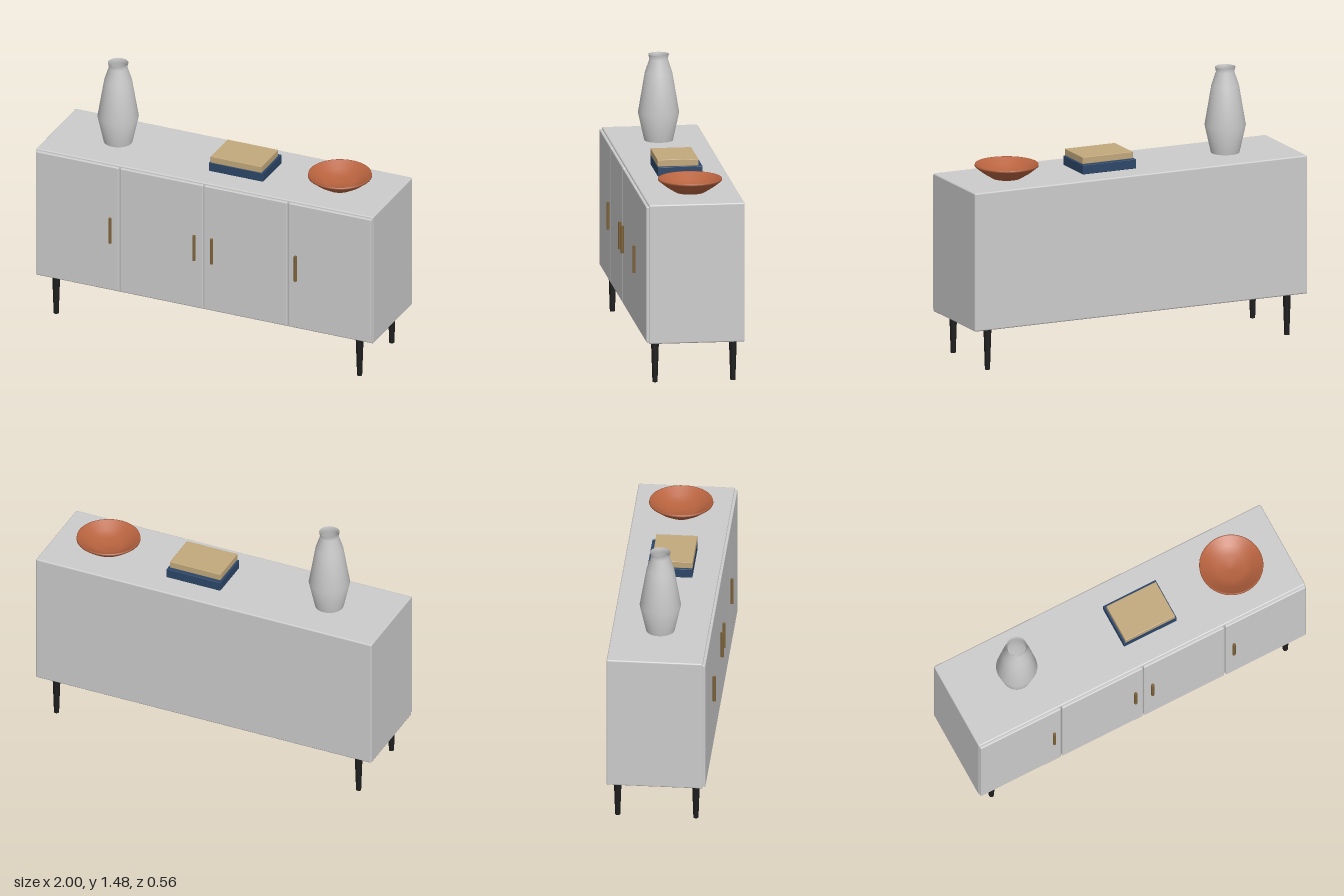
import * as THREE from 'three';
import { RoundedBoxGeometry } from 'three/addons/geometries/RoundedBoxGeometry.js';

const mat = (color, side = THREE.FrontSide) => new THREE.MeshStandardMaterial({ color, side });

export function createModel() {
  const root = new THREE.Group();
  const grey = mat(0xcccccc);
  const black = mat(0x1e1e1e);
  const brass = mat(0x7d6238);

  const add = (name, geometry, material, x, y, z) => {
    const mesh = new THREE.Mesh(geometry, material);
    mesh.name = name;
    mesh.position.set(x, y, z);
    root.add(mesh);
    return mesh;
  };

  // Box given by its limits on each axis
  const block = (name, [x0, x1], [y0, y1], [z0, z1], radius, material) =>
    add(name, new RoundedBoxGeometry(x1 - x0, y1 - y0, z1 - z0, 3, radius), material,
      (x0 + x1) / 2, (y0 + y1) / 2, (z0 + z1) / 2);

  // Turned shape; each profile segment may keep its own crease by a doubled point
  const turned = (name, points, material, x, y, z) =>
    add(name, new THREE.LatheGeometry(points.map(([r, h]) => new THREE.Vector2(r, h)), 48),
      material, x, y, z);

  // Cabinet body
  block('cabinet', [-1, 1], [0.23, 1], [-0.278, 0.245], 0.008, grey);

  // Four doors, handles meeting in pairs
  const handleX = [-0.55, -0.052, 0.052, 0.55];
  handleX.forEach((hx, i) => {
    const x0 = -1 + i * 0.5;
    block('door', [x0 + 0.004, x0 + 0.496], [0.24, 0.99], [0.235, 0.26], 0.006, grey);
    add('handle', new THREE.CylinderGeometry(0.009, 0.009, 0.15, 16), brass, hx, 0.605, 0.269);
  });

  // Tapered legs
  for (const x of [-0.9, 0.9]) {
    for (const z of [0.2, -0.225]) {
      add('leg', new THREE.CylinderGeometry(0.022, 0.014, 0.235, 20), black, x, 0.1175, z);
    }
  }

  // Vase, open at the mouth
  turned('vase', [[0, 0.001], [0.078, 0.001], [0.078, 0.001], [0.112, 0.155], [0.075, 0.375],
    [0.05, 0.45], [0.056, 0.477]], mat(0xcccccc, THREE.DoubleSide), -0.63, 1, -0.017);

  // Stacked books
  block('lowerBook', [-0.037, 0.285], [1, 1.052], [-0.14, 0.105], 0.003, mat(0x2c4668));
  block('upperBook', [-0.027, 0.275], [1.052, 1.09], [-0.118, 0.105], 0.003, mat(0xc2a87c));

  // Shallow bowl with a rounded hollow
  turned('bowl', [[0, 0.001], [0.08, 0.001], [0.08, 0.001], [0.13, 0.032], [0.174, 0.067],
    [0.172, 0.077], [0.166, 0.076], [0.12, 0.043], [0.075, 0.021], [0, 0.015]],
    mat(0xb8633f, THREE.DoubleSide), 0.685, 1, -0.019);

  return root;
}
